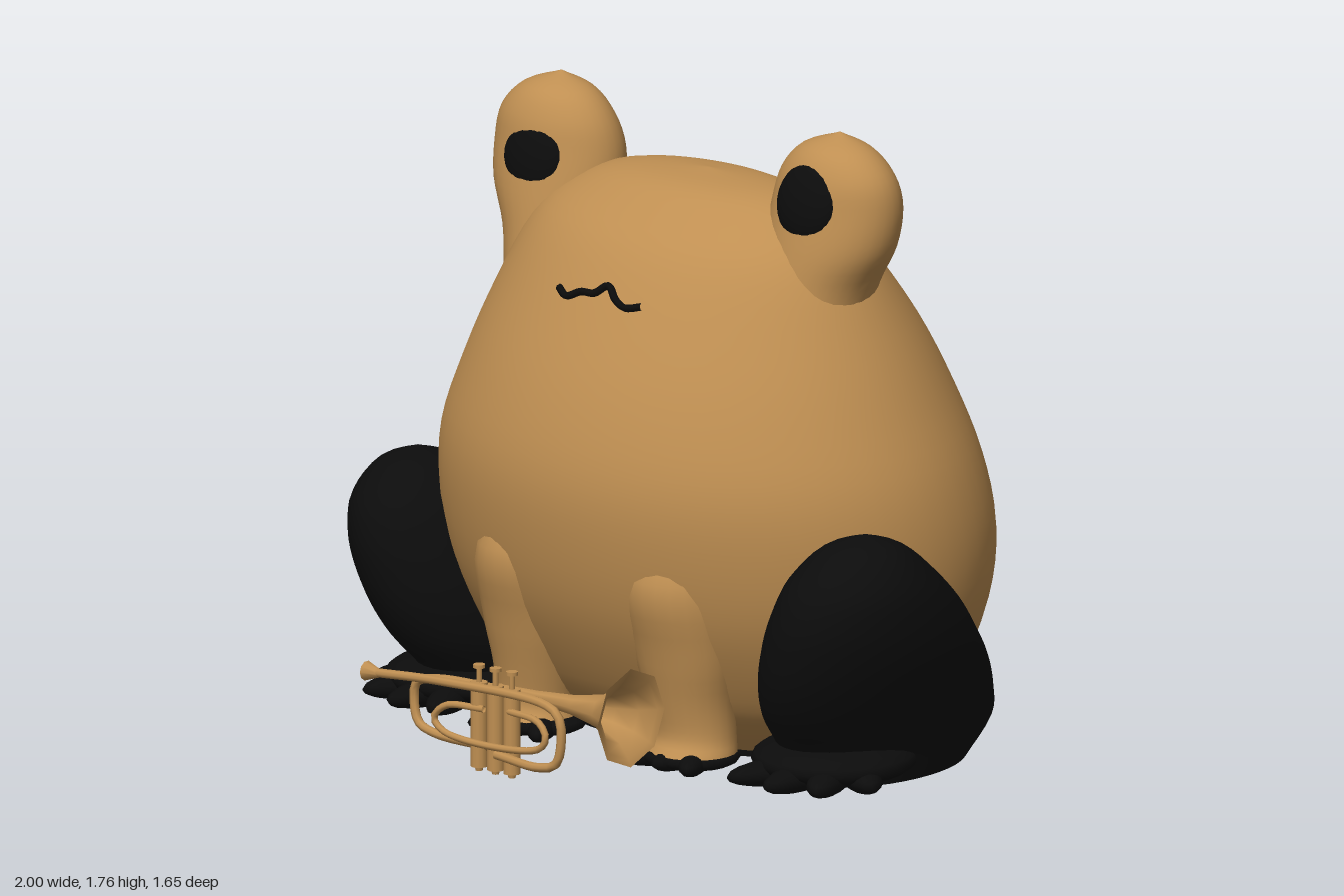
import * as THREE from 'three';

const tan = new THREE.MeshStandardMaterial({ color: 0xbf8f52, side: THREE.DoubleSide });
tan.name = 'tan';
const black = new THREE.MeshStandardMaterial({ color: 0x0c0c0c });
black.name = 'black';

const V = (x, y, z) => new THREE.Vector3(x, y, z);

function add(parent, name, geometry, material, x = 0, y = 0, z = 0) {
  const mesh = new THREE.Mesh(geometry, material);
  mesh.name = name;
  mesh.position.set(x, y, z);
  parent.add(mesh);
  return mesh;
}

// Smooth skin over horizontal ellipses, bottom to top: [y, xMin, xMax, zBack, zFront]
function loft(rows, steps = 32, n = 40) {
  const centre = new THREE.CatmullRomCurve3(
    rows.map(([y, a, b, c, d]) => V((a + b) / 2, y, (c + d) / 2)), false, 'catmullrom');
  const radius = new THREE.CatmullRomCurve3(
    rows.map(([, a, b, c, d]) => V((b - a) / 2, 0, (d - c) / 2)), false, 'catmullrom');
  const pos = [], index = [];
  for (let i = 0; i <= steps; i++) {
    const c = centre.getPoint(i / steps), r = radius.getPoint(i / steps);
    for (let j = 0; j < n; j++) {
      const t = (j / n) * Math.PI * 2;
      pos.push(c.x + Math.max(r.x, 0.001) * Math.cos(t), c.y, c.z + Math.max(r.z, 0.001) * Math.sin(t));
      if (i < steps) {
        const a = i * n + j, b = i * n + ((j + 1) % n);
        index.push(a, a + n, b, b, a + n, b + n);
      }
    }
  }
  const g = new THREE.BufferGeometry();
  g.setAttribute('position', new THREE.Float32BufferAttribute(pos, 3));
  g.setIndex(index);
  g.computeVertexNormals();
  return g;
}

// Mirror loft rows to the other side, with an optional height factor
const onSide = (rows, s, h = 1) => rows.map(([y, a, b, c, d]) =>
  s > 0 ? [y * h, a, b, c, d] : [y * h, -b, -a, c, d]);

const tube = (points, r, sides = 8) => new THREE.TubeGeometry(
  new THREE.CatmullRomCurve3(points.map(p => V(...p)), false, 'centripetal'), 40, r, sides);

// Flattened toe reaching from one ground point to another
function toe(parent, name, x0, z0, x1, z1, w, h) {
  const g = new THREE.SphereGeometry(1, 16, 10);
  g.scale(w, h, Math.hypot(x1 - x0, z1 - z0) / 2);
  add(parent, name, g, black, (x0 + x1) / 2, h, (z0 + z1) / 2).rotation.y = Math.atan2(x1 - x0, z1 - z0);
}

function buildBody(root) {
  const sym = [
    [0.012, 0.52, -0.48, 0.14], [0.1, 0.66, -0.63, 0.24], [0.2, 0.74, -0.715, 0.32],
    [0.4, 0.82, -0.80, 0.42], [0.6, 0.845, -0.825, 0.47], [0.8, 0.82, -0.785, 0.48],
    [1.0, 0.745, -0.71, 0.43], [1.2, 0.655, -0.6, 0.34], [1.4, 0.545, -0.44, 0.22],
    [1.5, 0.43, -0.34, 0.1], [1.555, 0.27, -0.26, 0.0], [1.575, 0, -0.14, -0.14],
  ].map(([y, r, c, d]) => [y, -r, r, c, d]);
  add(root, 'body', loft(sym, 44, 56), tan);

  // Black underside
  const base = new THREE.CylinderGeometry(1, 1, 0.016, 48);
  base.scale(0.53, 1, 0.32);
  add(root, 'underside', base, black, 0, 0.008, -0.17);

  // Wavy mouth lying on the face
  const mouth = [[-0.18, 1.285], [-0.14, 1.27], [-0.09, 1.29], [-0.04, 1.295], [0, 1.32],
    [0.04, 1.29], [0.08, 1.275], [0.13, 1.285]].map(([x, y]) =>
    [x, y, 0.295 - 0.6 * x * x - 0.55 * (y - 1.29)]);
  add(root, 'mouth', tube(mouth, 0.011, 6), black);
}

function buildEye(root, s, shiftX, shiftY, pupilX, pupilY) {
  const name = s > 0 ? 'left' : 'right';
  const rows = onSide([
    [1.22, 0.3, 0.58, -0.24, 0.08], [1.34, 0.28, 0.61, -0.26, 0.06], [1.45, 0.27, 0.665, -0.275, 0.04],
    [1.56, 0.275, 0.68, -0.28, 0.015], [1.65, 0.305, 0.66, -0.255, -0.005],
    [1.72, 0.37, 0.59, -0.21, -0.05], [1.76, 0.48, 0.48, -0.14, -0.14],
  ], s).map(([y, a, b, c, d]) => [y + shiftY, a + shiftX, b + shiftX, c, d]);
  add(root, name + 'EyeBump', loft(rows, 24, 32), tan);

  // Pupil: shallow cap leaning back with the bump
  const cap = new THREE.SphereGeometry(1, 28, 8, 0, Math.PI * 2, 0, Math.PI / 2);
  cap.rotateX(Math.PI / 2);
  cap.scale(0.105, 0.112, 0.045);
  add(root, name + 'Pupil', cap, black, pupilX, pupilY, -0.017).rotation.x = -0.22;
}

function buildLegs(root, s) {
  const name = s > 0 ? 'left' : 'right';
  // Folded hind leg
  add(root, name + 'Thigh', loft(onSide([
    [0.0, 0.46, 0.84, -0.4, 0.2], [0.1, 0.44, 0.87, -0.5, 0.25], [0.2, 0.44, 0.92, -0.465, 0.33],
    [0.3, 0.465, 0.96, -0.4, 0.375], [0.4, 0.5, 0.99, -0.31, 0.392], [0.5, 0.55, 1.0, -0.215, 0.39],
    [0.6, 0.61, 0.985, -0.1, 0.355], [0.69, 0.7, 0.925, 0.02, 0.26], [0.732, 0.82, 0.82, 0.14, 0.14],
  ], s, s > 0 ? 1 : 0.95)), black);

  // Hind foot and its toes
  const foot = new THREE.SphereGeometry(1, 24, 12);
  foot.scale(0.23, 0.065, 0.23);
  add(root, name + 'Foot', foot, black, s * 0.67, 0.065, 0.1);
  for (const [x, z] of [[0.54, 0.4], [0.69, 0.41], [0.83, 0.36], [0.915, 0.22]])
    toe(root, name + 'HindToe', s * 0.67, 0.05, s * x, z, 0.055, 0.04);

  // Front leg swelling out of the belly
  add(root, name + 'FrontLeg', loft(onSide([
    [0.05, 0.16, 0.42, 0.14, 0.38], [0.1, 0.17, 0.41, 0.14, 0.355], [0.2, 0.15, 0.41, 0.14, 0.37],
    [0.35, 0.12, 0.43, 0.14, 0.405], [0.55, 0.12, 0.42, 0.14, 0.44], [0.75, 0.26, 0.28, 0.28, 0.3],
  ], s), 20, 24), tan);
  const hand = new THREE.SphereGeometry(1, 20, 10);
  hand.scale(0.15, 0.036, 0.13);
  add(root, name + 'Hand', hand, black, s * 0.28, 0.036, 0.26);
  for (const x of [0.15, 0.28, 0.4])
    toe(root, name + 'FrontToe', s * 0.28, 0.2, s * x, 0.41, 0.04, 0.033);
}

function buildTrumpet(root) {
  const horn = new THREE.Group();
  horn.name = 'trumpet';
  root.add(horn);

  // Flared bell along x
  const profile = [[0.012, -0.05], [0.018, 0.1], [0.03, 0.24], [0.05, 0.34], [0.08, 0.4], [0.12, 0.432], [0.14, 0.44]];
  const bell = new THREE.LatheGeometry(profile.map(p => new THREE.Vector2(...p)), 8);
  bell.rotateZ(-Math.PI / 2);
  add(horn, 'bell', bell, tan, 0, 0.25, 0.685);

  // Bell pipe and lead pipe, each bent back to the valves
  add(horn, 'bellPipe', tube([[0, 0.25, 0.69], [-0.26, 0.24, 0.695], [-0.33, 0.22, 0.7], [-0.34, 0.17, 0.7],
    [-0.32, 0.11, 0.705], [-0.26, 0.09, 0.71], [0.02, 0.09, 0.72]], 0.013), tan);
  add(horn, 'leadPipe', tube([[-0.45, 0.235, 0.745], [-0.2, 0.255, 0.75], [0.2, 0.26, 0.765], [0.25, 0.235, 0.77],
    [0.26, 0.17, 0.77], [0.24, 0.1, 0.77], [0.18, 0.08, 0.77], [0, 0.08, 0.745]], 0.013), tan);
  add(horn, 'innerSlide', tube([[0.04, 0.21, 0.74], [0.16, 0.2, 0.75], [0.19, 0.16, 0.755], [0.16, 0.125, 0.755],
    [-0.18, 0.115, 0.755], [-0.22, 0.15, 0.755], [-0.18, 0.19, 0.75], [-0.05, 0.2, 0.74]], 0.01), tan);
  add(horn, 'mouthpiece', new THREE.CylinderGeometry(0.028, 0.011, 0.05, 10), tan, -0.45, 0.235, 0.745).rotation.z = Math.PI / 2;

  // Three valves with stems and buttons
  for (const x of [-0.08, -0.02, 0.04]) {
    add(horn, 'valve', new THREE.CylinderGeometry(0.024, 0.024, 0.24, 12), tan, x, 0.15, 0.725);
    add(horn, 'valveFoot', new THREE.CylinderGeometry(0.014, 0.01, 0.02, 10), tan, x, 0.028, 0.725);
    add(horn, 'valveStem', new THREE.CylinderGeometry(0.008, 0.008, 0.05, 8), tan, x, 0.29, 0.725);
    add(horn, 'valveButton', new THREE.CylinderGeometry(0.017, 0.017, 0.01, 10), tan, x, 0.315, 0.725);
  }
}

export function createModel() {
  const root = new THREE.Group();
  root.name = 'frogWithTrumpet';
  buildBody(root);
  buildEye(root, 1, 0, 0, 0.47, 1.58);
  buildEye(root, -1, -0.06, -0.005, -0.53, 1.54);
  for (const s of [1, -1]) buildLegs(root, s);
  buildTrumpet(root);
  return root;
}
